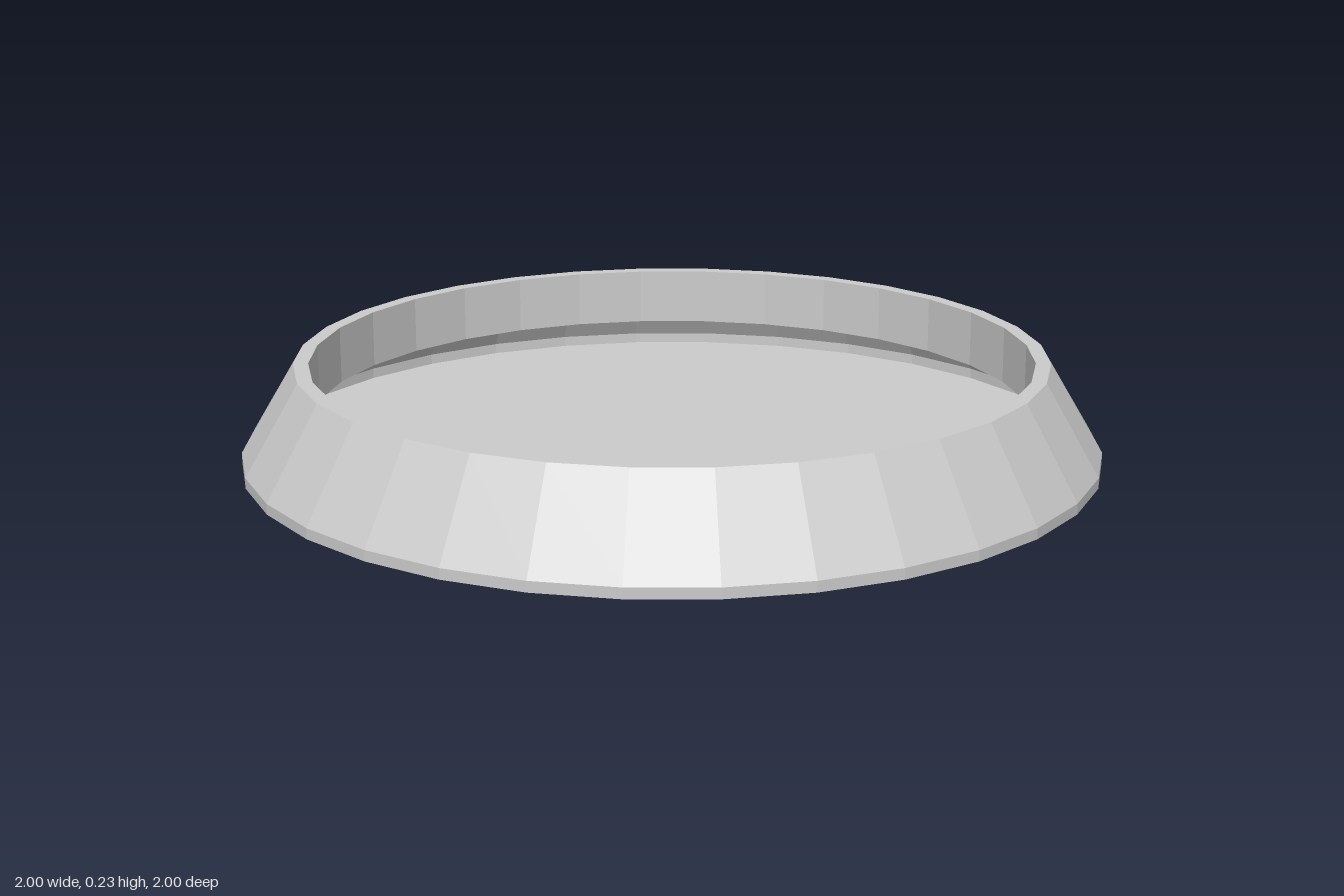
import * as THREE from 'three';

const SIDES = 32;

export function createModel() {
  const model = new THREE.Group();
  model.name = 'roundTray';
  const material = new THREE.MeshStandardMaterial({
    color: 0xcccccc, flatShading: true, side: THREE.DoubleSide,
  });

  // Adds a faceted surface of revolution from [radius, height] pairs
  const addLathe = (name, profile) => {
    const points = profile.map(([r, y]) => new THREE.Vector2(r, y));
    const mesh = new THREE.Mesh(new THREE.LatheGeometry(points, SIDES), material);
    mesh.name = name;
    model.add(mesh);
  };

  // Flat base, seen from inside as the floor
  const base = new THREE.Mesh(new THREE.CircleGeometry(1, SIDES), material);
  base.rotation.x = Math.PI / 2;
  base.name = 'base';
  model.add(base);

  // Short upright edge, then the wall sloping inwards
  addLathe('outerWall', [[1, 0], [1, 0.025], [0.875, 0.235]]);

  // Flat rim with a lip hanging inside, open underneath
  addLathe('rimAndInnerLip', [[0.875, 0.235], [0.84, 0.235], [0.84, 0.1]]);

  return model;
}
